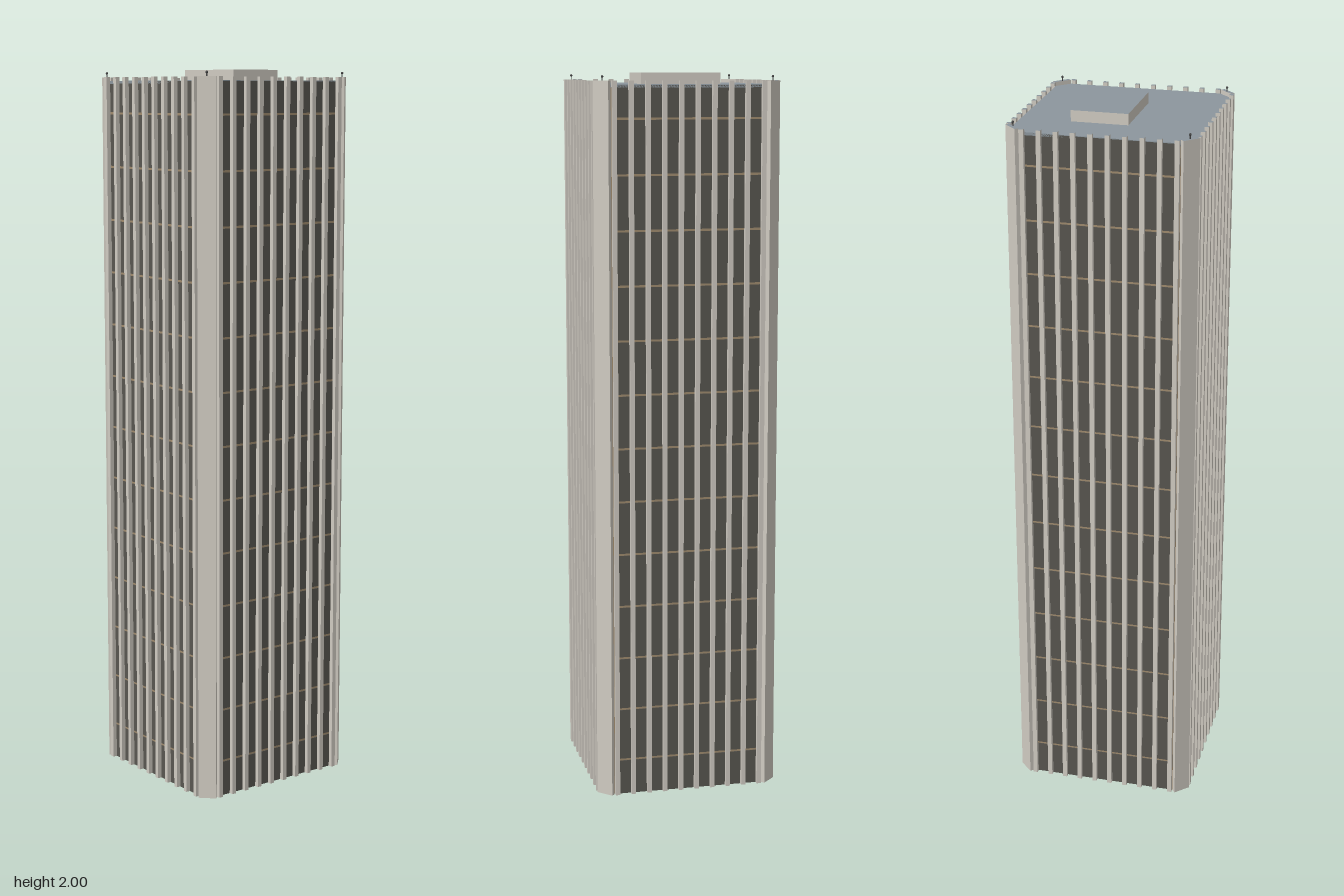
import * as THREE from 'three';

const mat = (name, color) => {
  const m = new THREE.MeshStandardMaterial({ color });
  m.name = name;
  return m;
};

export function createModel() {
  const stone = mat('pale stone', 0xd0cbc2);
  const glass = mat('dark glass', 0x585650);
  const tan = mat('tan wall', 0xa08b6e);
  const roofGrey = mat('roof blue grey', 0x8c969d);
  const metal = mat('dark metal', 0x4a4a4a);

  const tower = new THREE.Group();
  tower.name = 'tower';

  const box = (parent, name, size, pos, material) => {
    const mesh = new THREE.Mesh(new THREE.BoxGeometry(...size), material);
    mesh.name = name;
    mesh.position.set(...pos);
    parent.add(mesh);
    return mesh;
  };
  // box materials with a roof-coloured top
  const capped = [stone, stone, roofGrey, stone, stone, stone];

  const HALF = 0.246, CUT = 0.212, ROOF = 1.968, TOP = 1.98;
  const FLOOR = 0.1484, GAP = 0.006;

  for (let side = 0; side < 4; side++) {
    // Facade: tan wall, rows of glass and vertical ribs
    const facade = new THREE.Group();
    facade.name = 'facade';
    facade.rotation.y = side * Math.PI / 2;
    tower.add(facade);
    box(facade, 'wall', [CUT * 2, ROOF, 0.004], [0, ROOF / 2, HALF - 0.004], tan);

    for (let row = 0; row < 14; row++) {
      const low = row === 0 ? 0 : 0.1 + (row - 1) * FLOOR + GAP / 2;
      const high = row === 13 ? ROOF : 0.1 + row * FLOOR - GAP / 2;
      box(facade, 'windowRow', [0.404, high - low, 0.002], [0, (low + high) / 2, HALF - 0.001], glass);
    }
    for (let i = 0; i < 10; i++) {
      box(facade, 'rib', [0.0125, TOP, 0.012], [(i - 4.5) * 0.0456, TOP / 2, 0.252], capped);
    }

    // Chamfered corner: slanted slab with a small lightning rod
    const corner = new THREE.Group();
    corner.name = 'corner';
    corner.rotation.y = Math.PI / 4 + side * Math.PI / 2;
    tower.add(corner);
    const reach = 0.2355 * Math.SQRT2;
    box(corner, 'cornerSlab', [0.05, TOP, 0.0115], [0, TOP / 2, reach], capped);
    const rod = new THREE.Mesh(new THREE.CylinderGeometry(0.0015, 0.0015, 0.016, 6), metal);
    rod.name = 'rod';
    rod.position.set(0, TOP + 0.006, reach - 0.003);
    const tip = new THREE.Mesh(new THREE.SphereGeometry(0.0035, 8, 6), metal);
    tip.name = 'rodTip';
    tip.position.set(0, TOP + 0.011, reach - 0.003);
    corner.add(rod, tip);
  }

  // Roof slab with cut corners
  const outline = new THREE.Shape([
    [CUT, -HALF], [HALF, -CUT], [HALF, CUT], [CUT, HALF],
    [-CUT, HALF], [-HALF, CUT], [-HALF, -CUT], [-CUT, -HALF],
  ].map(([x, y]) => new THREE.Vector2(x, y)));
  const roofGeo = new THREE.ExtrudeGeometry(outline, { depth: 0.008, bevelEnabled: false });
  roofGeo.rotateX(-Math.PI / 2);
  const roof = new THREE.Mesh(roofGeo, roofGrey);
  roof.name = 'roof';
  roof.position.y = ROOF - 0.006;
  tower.add(roof);

  // Rooftop plant room
  box(tower, 'plantRoom', [0.222, 0.034, 0.155], [-0.009, 1.983, -0.033], capped);

  return tower;
}
